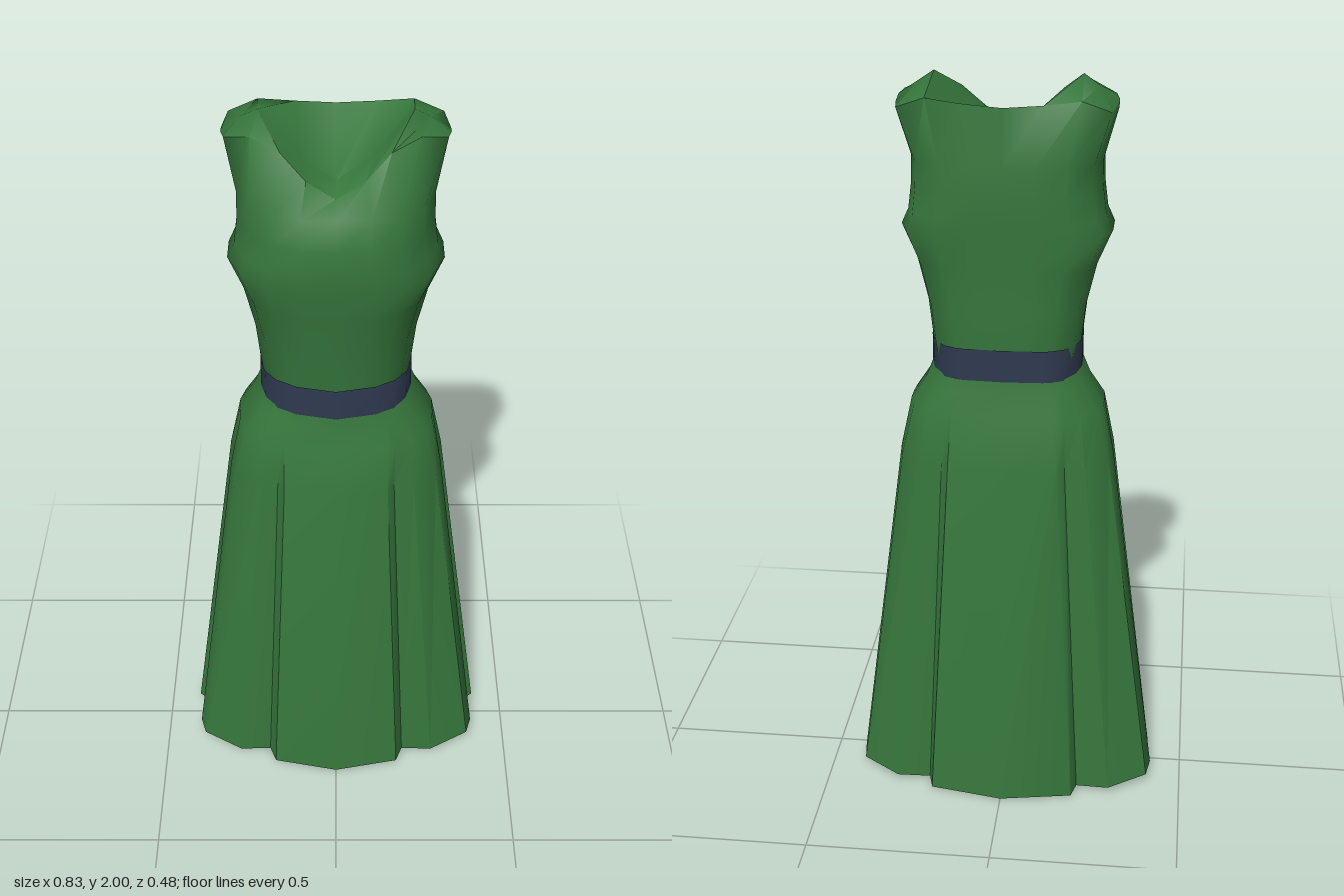
import * as THREE from 'three';
import { mergeGeometries, toCreasedNormals } from 'three/addons/utils/BufferGeometryUtils.js';

// Skin a list of equally long rows of [x, y, z] points
function loft(rows, closed) {
  const n = rows[0].length, index = [];
  for (let r = 0; r < rows.length - 1; r++) {
    for (let i = 0; i < (closed ? n : n - 1); i++) {
      const j = (i + 1) % n;
      const a = r * n + i, b = r * n + j, c = b + n, d = a + n;
      index.push(a, b, c, a, c, d);
    }
  }
  const geo = new THREE.BufferGeometry();
  geo.setAttribute('position', new THREE.Float32BufferAttribute(rows.flat(2), 3));
  geo.setIndex(index);
  return geo;
}

const flip = ([x, y, z]) => [-x, y, z];
// Half ring, front centre to back centre, mirrored to a full ring
const fullRing = (half) => [...half, ...half.slice(1, -1).reverse().map(flip)];
// Half row, centre to +x, mirrored to run from -x to +x
const fullRow = (half) => [...half.slice(1).reverse().map(flip), ...half];

// Half waist and half pleated hem outlines, [x, z] from front to back
const waist = [[0, .145], [.1, .14], [.115, .132], [.145, .12], [.175, .085], [.188, .04], [.19, 0],
  [.19, -.04], [.18, -.08], [.15, -.125], [.12, -.14], [.1, -.145], [0, -.15]];
const hem = [[0, .238], [.177, .205], [.195, .157], [.28, .167], [.39, .108], [.405, .057], [.35, 0],
  [.415, -.05], [.405, -.115], [.3, -.178], [.21, -.165], [.197, -.213], [0, -.24]];

// Waistline dips to a shallow V at the front
const dip = (x, z) => (z > 0 ? -.025 * Math.max(0, 1 - Math.abs(x) / .19) : 0);
const waistRing = (y, sx, sz) => fullRing(waist.map(([x, z]) => [x * sx, y + dip(x, z), z * sz]));

function skirtGeometry() {
  // Hip ring where the pleats begin, then straight down to the hem
  const hip = waist.map(([x, z], i) => [
    THREE.MathUtils.lerp(x * 1.47, hem[i][0] * .7, .5), 1.0,
    THREE.MathUtils.lerp(z * 1.3, hem[i][1] * .8, .5)]);
  const bottom = hem.map(([x, z]) => [x, x < .18 ? x * .03 : .005 + (x - .18) * .085, z]);
  const rows = [fullRing(bottom), fullRing(hip), waistRing(1.14, 1.34, 1.13),
    waistRing(1.2, 1.13, 1.03), waistRing(1.26, 1, 1)];
  return toCreasedNormals(loft(rows, true), .75);
}

function bodiceGeometry() {
  // Unit half section, [x, z] from front to back
  const section = [[0, 1], [.35, .99], [.65, .85], [.88, .55], [1, .15],
    [1, -.3], [.92, -.7], [.65, -.92], [.33, -.99], [0, -1]];
  // Height, half width, front depth, back depth
  const levels = [[1.27, .185, .138, .142], [1.32, .193, .146, .15], [1.42, .204, .16, .15],
    [1.53, .23, .182, .155], [1.62, .268, .196, .163], [1.66, .25, .2, .166],
    [1.73, .241, .198, .17], [1.8, .24, .176, .166]];
  const rows = levels.map(([y, w, f, b]) =>
    fullRing(section.map(([x, z]) => [x * w, y, z * (z > 0 ? f : b)])));
  // Neckline and armhole edge
  const edge = [[0, 1.84, .14], [.07, 1.88, .128], [.13, 1.94, .1], [.2, 1.968, .075], [.265, 1.945, .03],
    [.275, 1.93, -.05], [.262, 1.935, -.13], [.19, 1.962, -.142], [.1, 1.952, -.15], [0, 1.945, -.155]];
  rows.push(fullRing(edge));
  // Valley between the two shoulder peaks
  const middle = [[0, 1.81, -.01], [.09, 1.88, -.01], [.185, 2.0, -.005], [.225, 1.975, -.02], [.274, 1.94, -.01]];
  const top = [fullRow(edge.slice(0, 5)), fullRow(middle), fullRow(edge.slice(5).reverse())];
  return toCreasedNormals(mergeGeometries([loft(rows, true), loft(top, false)]), 1.25);
}

export function createModel() {
  const green = new THREE.MeshStandardMaterial({ color: 0x37783d, side: THREE.DoubleSide });
  green.name = 'green cloth';
  const navy = new THREE.MeshStandardMaterial({ color: 0x2f3a50, side: THREE.DoubleSide });
  navy.name = 'navy belt';

  const group = new THREE.Group();
  group.name = 'dress';
  const add = (name, geo, mat) => {
    const mesh = new THREE.Mesh(geo, mat);
    mesh.name = name;
    group.add(mesh);
  };
  add('skirt', skirtGeometry(), green);
  add('bodice', bodiceGeometry(), green);
  add('belt', toCreasedNormals(loft([waistRing(1.237, 1.03, 1.03), waistRing(1.323, 1.03, 1.03)], true), .8), navy);
  return group;
}
